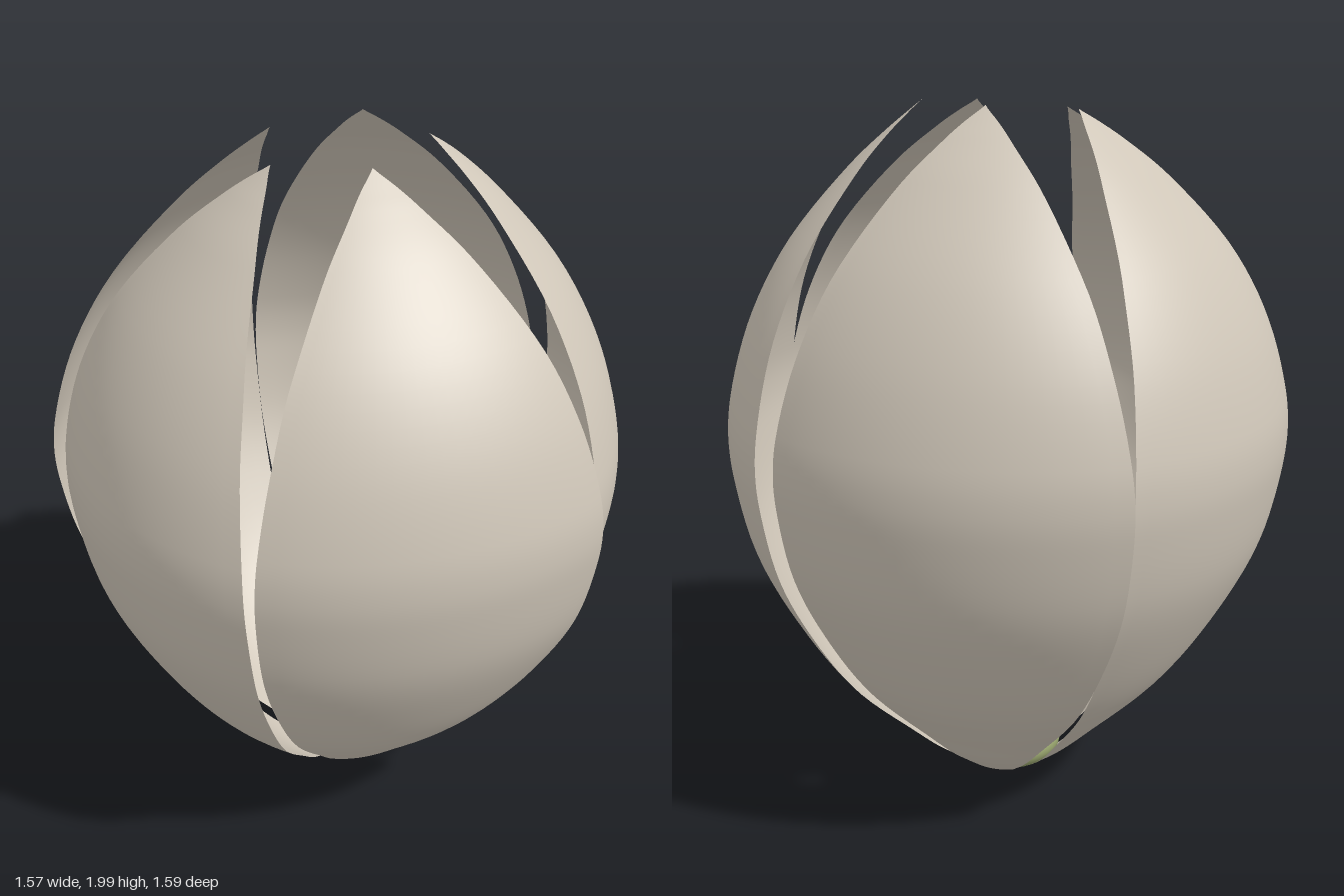
import * as THREE from 'three';

const petalMat = new THREE.MeshStandardMaterial({ color: 0xd0c7b9, side: THREE.DoubleSide });
petalMat.name = 'petal cream';
const greenMat = new THREE.MeshStandardMaterial({ color: 0x96a26c });
greenMat.name = 'receptacle green';
const filamentMat = new THREE.MeshStandardMaterial({ color: 0x9a8c5c });
filamentMat.name = 'filament olive';
const antherMat = new THREE.MeshStandardMaterial({ color: 0xc9ae7e });
antherMat.name = 'anther tan';

// Petal sections from base to tip: radius, height, half angle in degrees
const sections = new THREE.CatmullRomCurve3([
  [0.125, 0.03, 24], [0.17, 0.065, 27.5], [0.225, 0.11, 29], [0.315, 0.2, 31.6],
  [0.503, 0.4, 34.4], [0.632, 0.6, 35.4], [0.725, 0.8, 35.7], [0.768, 1.0, 35.6], [0.775, 1.1, 35.4],
  [0.764, 1.2, 35], [0.705, 1.4, 33.4], [0.597, 1.6, 30.8], [0.425, 1.8, 24.2],
  [0.32, 1.895, 16], [0.268, 1.937, 9.7], [0.22, 1.975, 0],
].map(p => new THREE.Vector3(p[0], p[1], p[2] / 100)));

// One petal: a pointed strip of a bulging cup, facing +z, its left edge flared outward
function petalGeometry() {
  const rows = 80, cols = 20;
  const geo = new THREE.PlaneGeometry(1, 1, cols, rows);
  const pos = geo.attributes.position;
  for (let j = 0; j <= rows; j++) {
    const s = sections.getPoint(1 - j / rows);
    for (let i = 0; i <= cols; i++) {
      const deg = s.z * 100 * (2 * i / cols - 1);
      const a = THREE.MathUtils.degToRad(deg), u = deg / 35;
      const r = s.x * (1 + 0.027 * u * u + 0.022 * u);
      pos.setXYZ(j * (cols + 1) + i, r * Math.sin(a), s.y, r * Math.cos(a));
    }
  }
  geo.computeVertexNormals();
  return geo;
}

export function createModel() {
  const model = new THREE.Group();
  model.name = 'flowerBud';
  const flower = new THREE.Group();
  flower.name = 'flower';
  flower.position.z = 0.015;
  model.add(flower);

  // Five petals around the axis: height scale and small turn in degrees
  const geo = petalGeometry();
  const petals = [[0.995, -0.6], [1.003, -0.7], [1.012, 0], [1.012, 0.8], [1.003, 0.9]];
  petals.forEach(([h, turn], k) => {
    const petal = new THREE.Mesh(geo, petalMat);
    petal.name = 'petal' + (k + 1);
    petal.rotation.y = THREE.MathUtils.degToRad(k * 72 + turn);
    petal.scale.y = h;
    flower.add(petal);
  });

  // Rounded receptacle at the base
  const receptacle = new THREE.Mesh(new THREE.SphereGeometry(1, 40, 24), greenMat);
  receptacle.name = 'receptacle';
  receptacle.scale.set(0.16, 0.076, 0.16);
  receptacle.position.set(-0.005, 0.081, 0.01);
  flower.add(receptacle);

  // Stamens: slim filaments fanning out, each with a round anther
  const tips = [
    [-0.035, -0.157], [0.08, -0.14], [-0.113, -0.08], [-0.067, -0.095], [0.008, -0.087], [0.075, -0.06],
    [0.138, -0.045], [-0.15, -0.045], [-0.113, 0.006], [0.13, 0.006], [-0.172, 0.07], [-0.08, 0.07],
    [0.075, 0.077], [0.16, 0.07], [-0.025, 0.12], [0.017, 0.145], [0.067, 0.14], [-0.092, 0.157],
  ];
  const antherGeo = new THREE.SphereGeometry(0.02, 16, 12);
  tips.forEach(([x, z], k) => {
    const stamen = new THREE.Group();
    stamen.name = 'stamen' + (k + 1);
    const y = 0.31 - 0.012 * (k % 3);
    const path = new THREE.QuadraticBezierCurve3(
      new THREE.Vector3(x * 0.45, 0.135, z * 0.45),
      new THREE.Vector3(x * 0.7, 0.23, z * 0.7),
      new THREE.Vector3(x, y, z));
    const filament = new THREE.Mesh(new THREE.TubeGeometry(path, 8, 0.006, 8), filamentMat);
    filament.name = 'filament';
    const anther = new THREE.Mesh(antherGeo, antherMat);
    anther.name = 'anther';
    anther.position.set(x, y, z);
    stamen.add(filament, anther);
    flower.add(stamen);
  });
  return model;
}
